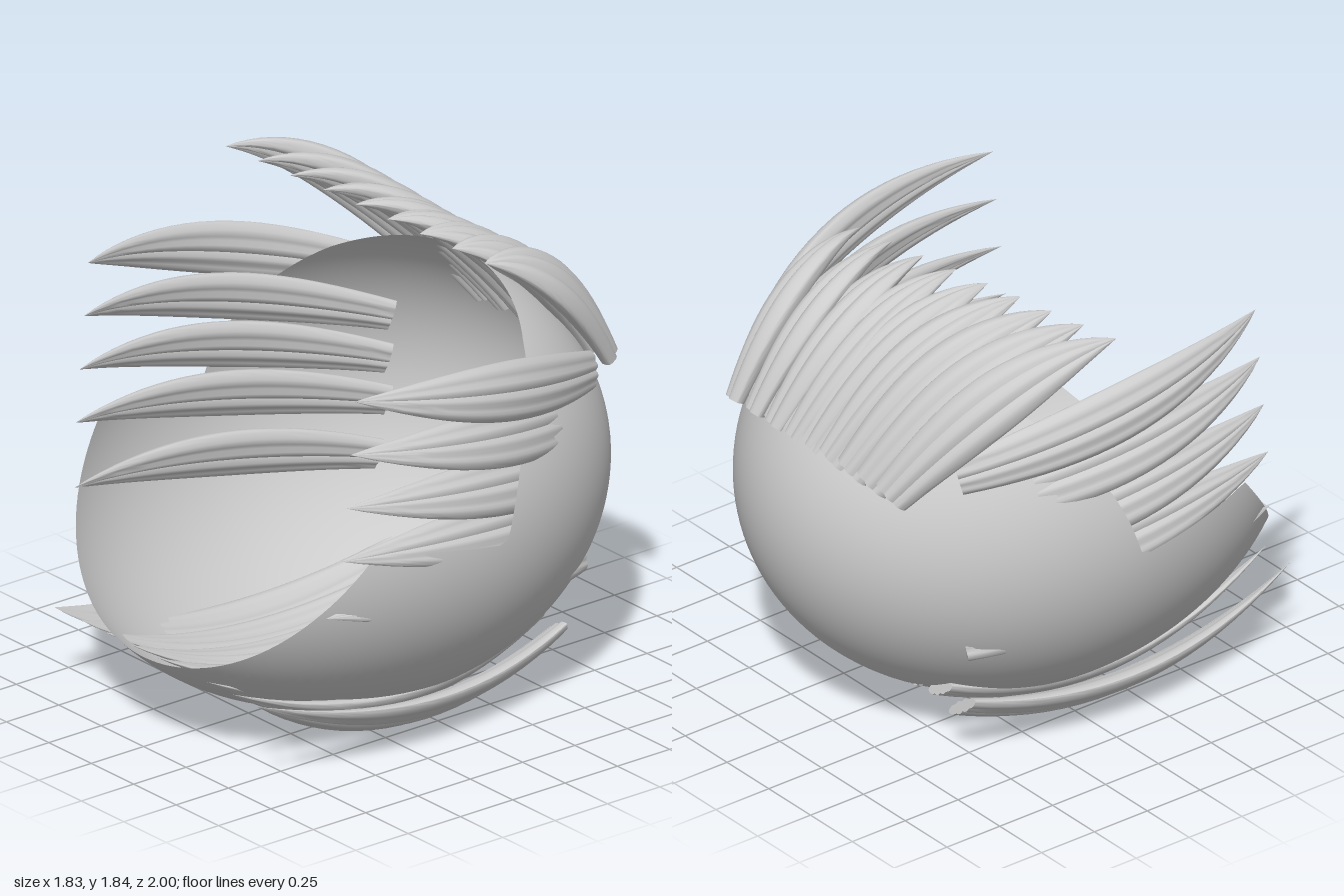
import * as THREE from 'three';
import { toCreasedNormals } from 'three/addons/utils/BufferGeometryUtils.js';

const V = (x, y, z) => new THREE.Vector3(x, y, z);
const material = new THREE.MeshStandardMaterial({ color: 0xcccccc, side: THREE.DoubleSide });

// Height of the opening's rim for a given depth z, with a notch over each ear
const rim = [[-0.5, 1.585], [-0.35, 1.46], [-0.2, 1.28], [-0.1, 1.12], [-0.05, 1.0], [0, 0.85],
  [0.55, 0.93], [0.75, 0.68], [1, 0.36]];
function rimHeight(z) {
  let k = 0;
  while (k < rim.length - 2 && z > rim[k + 1][0]) k++;
  const [z0, y0] = rim[k], [z1, y1] = rim[k + 1];
  return y0 + (y1 - y0) * (z - z0) / (z1 - z0);
}

// Egg-shaped cap: rings around a pole at the lower back, ending on the rim
function capGeometry(rings = 40, sides = 160) {
  const pole = V(0, -0.77, -0.63).normalize();
  const right = V(1, 0, 0), up = pole.clone().cross(right);
  const depth = (d) => (d.z > 0 ? 1.17 : 1.05);
  const direction = (theta, phi) => pole.clone().multiplyScalar(Math.cos(theta))
    .addScaledVector(right, Math.sin(theta) * Math.cos(phi))
    .addScaledVector(up, Math.sin(theta) * Math.sin(phi));
  const onEgg = (d) => V(d.x * 0.91, 0.87 + d.y * 0.87, 0.05 + d.z * depth(d));
  const position = [], normal = [], index = [];
  for (let j = 0; j <= sides; j++) {
    const phi = (j / sides) * Math.PI * 2;
    let lo = 0.5, hi = 2.9;
    for (let k = 0; k < 30; k++) {
      const mid = (lo + hi) / 2, p = onEgg(direction(mid, phi));
      if (p.y < rimHeight(p.z)) lo = mid; else hi = mid;
    }
    for (let i = 0; i <= rings; i++) {
      const d = direction((lo * i) / rings, phi);
      position.push(...onEgg(d).toArray());
      normal.push(...V(d.x / 0.91, d.y / 0.87, d.z / depth(d)).normalize().toArray());
      if (i < rings && j < sides) {
        const a = j * (rings + 1) + i, b = a + rings + 1;
        index.push(a, a + 1, b, b, a + 1, b + 1);
      }
    }
  }
  const g = new THREE.BufferGeometry();
  g.setAttribute('position', new THREE.Float32BufferAttribute(position, 3));
  g.setAttribute('normal', new THREE.Float32BufferAttribute(normal, 3));
  g.setIndex(index);
  return g;
}

// Ribbed leaf-shaped lock swept along a bend, cut flat at the root, pointed at the tip
function lockGeometry(root, bend, tip, outward, width, thick, ribs) {
  const curve = new THREE.QuadraticBezierCurve3(root, bend, tip);
  const steps = 20, K = 40, position = [], index = [];
  for (let i = 0; i <= steps; i++) {
    const t = i / steps, c = curve.getPoint(t), T = curve.getTangent(t);
    const S = T.clone().cross(outward).normalize(), N = S.clone().cross(T);
    const swell = t < 0.4
      ? 0.65 + 0.35 * Math.sin((t / 0.4) * Math.PI / 2)
      : Math.pow(Math.max(0.0001, Math.cos(((t - 0.4) / 0.6) * Math.PI / 2)), 0.9);
    for (let j = 0; j < K; j++) {
      const a = (j / K) * Math.PI * 2, u = Math.cos(a);
      const groove = 0.68 + 0.32 * Math.abs(Math.sin(ribs * Math.PI * (u + 1) / 2));
      const p = c.clone().addScaledVector(S, u * swell * width / 2)
        .addScaledVector(N, Math.sin(a) * groove * swell * thick / 2);
      position.push(p.x, p.y, p.z);
      if (i < steps) {
        const n = (j + 1) % K, q = i * K;
        index.push(q + j, q + K + j, q + n, q + n, q + K + j, q + K + n);
      }
    }
  }
  // flat root
  const centre = position.length / 3;
  position.push(root.x, root.y, root.z);
  for (let j = 0; j < K; j++) index.push(centre, j, (j + 1) % K);
  const g = new THREE.BufferGeometry();
  g.setAttribute('position', new THREE.Float32BufferAttribute(position, 3));
  g.setIndex(index);
  return toCreasedNormals(g, 0.7);
}

export function createModel() {
  const model = new THREE.Group();
  model.name = 'hair';
  const add = (parent, name, geometry) => {
    const mesh = new THREE.Mesh(geometry, material);
    mesh.name = name;
    parent.add(mesh);
  };
  const group = (name) => {
    const g = new THREE.Group();
    g.name = name;
    model.add(g);
    return g;
  };

  add(model, 'cap', capGeometry());

  // Crest: nine locks rising from the back and fanning to one side
  const crest = group('crestLocks');
  for (let i = 0; i < 9; i++) {
    const f = i / 8;
    const rootX = 0.43 - 0.93 * f, tipX = 0.43 - 1.33 * f;
    add(crest, 'crestLock', lockGeometry(
      V(rootX, 1.23, -0.87),
      V(rootX * 0.25 + tipX * 0.75, 1.72 + 0.06 * f, -0.61 + 0.06 * f),
      V(tipX, 1.75 + 0.07 * f, -0.28 + 0.16 * f),
      V(0.7 - 1.55 * f, 0.7, -0.7), 0.23, 0.12, 3));
  }

  // Sides: five locks each, from inside the cap out through the notch; the lowest stays inside
  const sideRoots = [[0.61, 1.28], [0.56, 1.11], [0.58, 0.93], [0.585, 0.76], [0.59, 0.55]];
  const sideBends = [1.01, 1.01, 0.99, 0.93, 0.87];
  for (const side of [1, -1]) {
    const locks = group(side > 0 ? 'leftLocks' : 'rightLocks');
    const lift = side > 0 ? 0 : 0.035;
    sideRoots.forEach(([rootX, rootY], i) => {
      const lowest = i === 4;
      const tipY = 1.57 - 0.21 * i + lift - (lowest ? 0.04 : 0);
      add(locks, 'sideLock', lockGeometry(
        V(side * rootX, rootY, lowest ? -0.6 : -0.64),
        V(side * sideBends[i], (rootY + tipY) / 2 + 0.05, 0.02),
        V(side * (lowest ? 0.74 : side > 0 ? 0.81 : 0.76), tipY, 0.65 + 0.02 * i),
        V(side, i === 0 ? 0.25 : 0.5, 0), 0.23, 0.1, 4));
    });
  }

  // Bottom: nine locks along the floor, the outer ones breaking through the cap
  const floor = group('bottomLocks');
  for (let i = -4; i <= 4; i++) {
    const x = i * 0.15, outer = Math.abs(i) === 4;
    add(floor, 'bottomLock', lockGeometry(
      V(x * 0.87, Math.abs(i) === 3 ? 0.245 : 0.225, -0.55),
      V(x * 1.05, -0.07 + 0.1 * x * x, 0.2),
      V(x, 0.345, 0.94),
      V(x * 1.2, -1, 0), outer ? 0.27 : 0.22, 0.08, 4));
  }
  return model;
}
